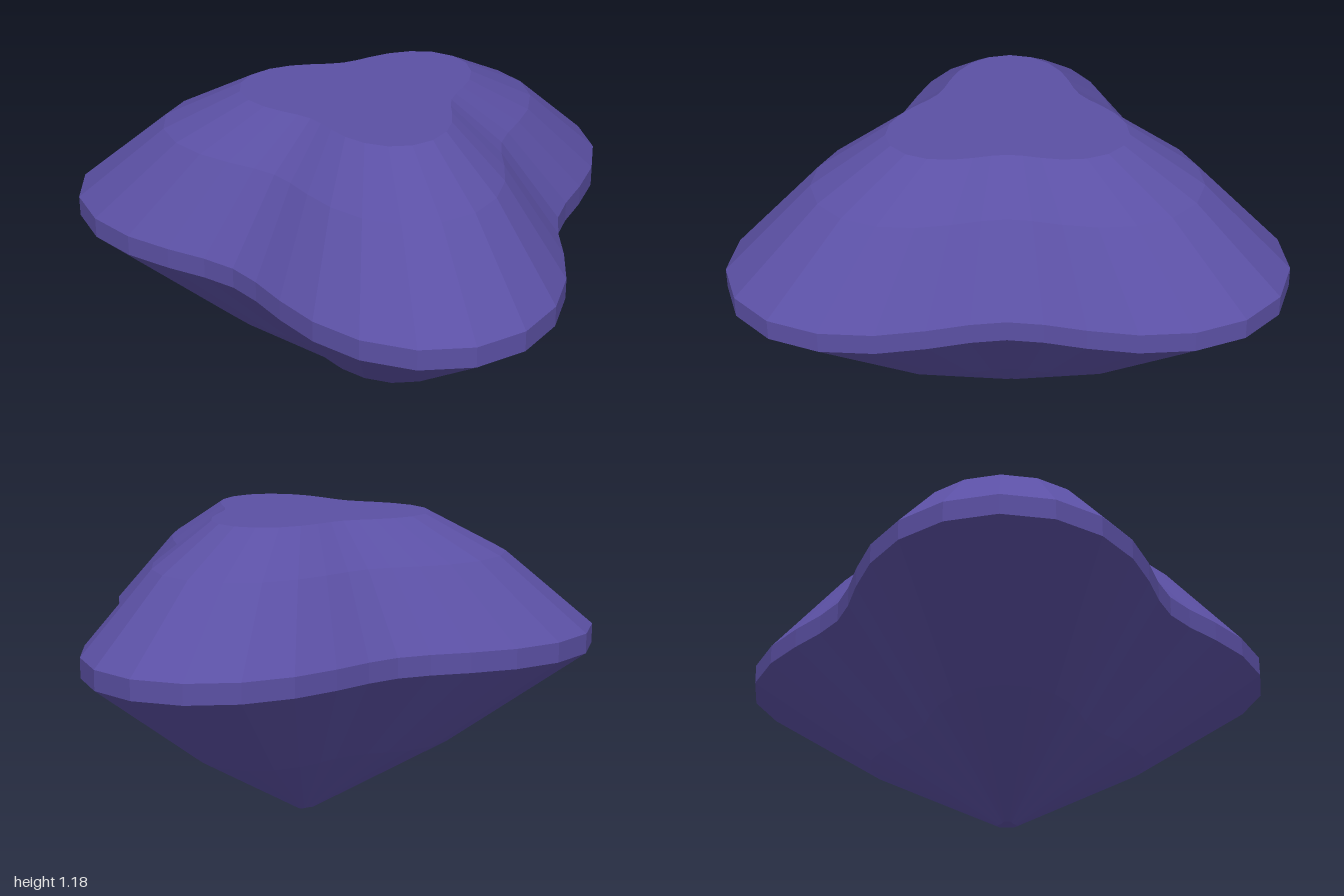
import * as THREE from 'three';

const SIDES = 36;
const LOBE_ANGLE = THREE.MathUtils.degToRad(51.8); // direction of the first of three lobes
const CENTRE = [0.05, 0.12];

// One band of the gem: a lathe whose radius swells in three lobes, with flat facets
function tier(name, material, [r0, y0], [r1, y1]) {
  const profile = [new THREE.Vector2(r0, y0), new THREE.Vector2(r1, y1)];
  const lathe = new THREE.LatheGeometry(profile, SIDES, LOBE_ANGLE, Math.PI * 2);
  const pos = lathe.attributes.position;
  for (let i = 0; i < pos.count; i++) {
    const x = pos.getX(i), z = pos.getZ(i);
    const swell = 0.901 + 0.2 * Math.cos(3 * (Math.atan2(x, z) - LOBE_ANGLE));
    pos.setXYZ(i, x * swell + CENTRE[0], pos.getY(i), z * swell + CENTRE[1]);
  }
  const geometry = lathe.toNonIndexed();
  geometry.computeVertexNormals();
  const mesh = new THREE.Mesh(geometry, material);
  mesh.name = name;
  return mesh;
}

export function createModel() {
  const violet = new THREE.MeshStandardMaterial({ color: 0x5b50a4 });
  violet.name = 'violet';

  // Profile rings from the bottom up: [scale of the outline, height]
  const rings = [
    [0, 0], [0.035, 0], [0.52, 0.3], [1, 0.67],
    [1, 0.745], [0.694, 1.026], [0.43, 1.176], [0, 1.176],
  ];
  const names = ['culet', 'lowerPavilion', 'upperPavilion', 'girdle', 'lowerCrown', 'upperCrown', 'table'];

  const gem = new THREE.Group();
  gem.name = 'gem';
  names.forEach((name, i) => gem.add(tier(name, violet, rings[i], rings[i + 1])));
  return gem;
}
